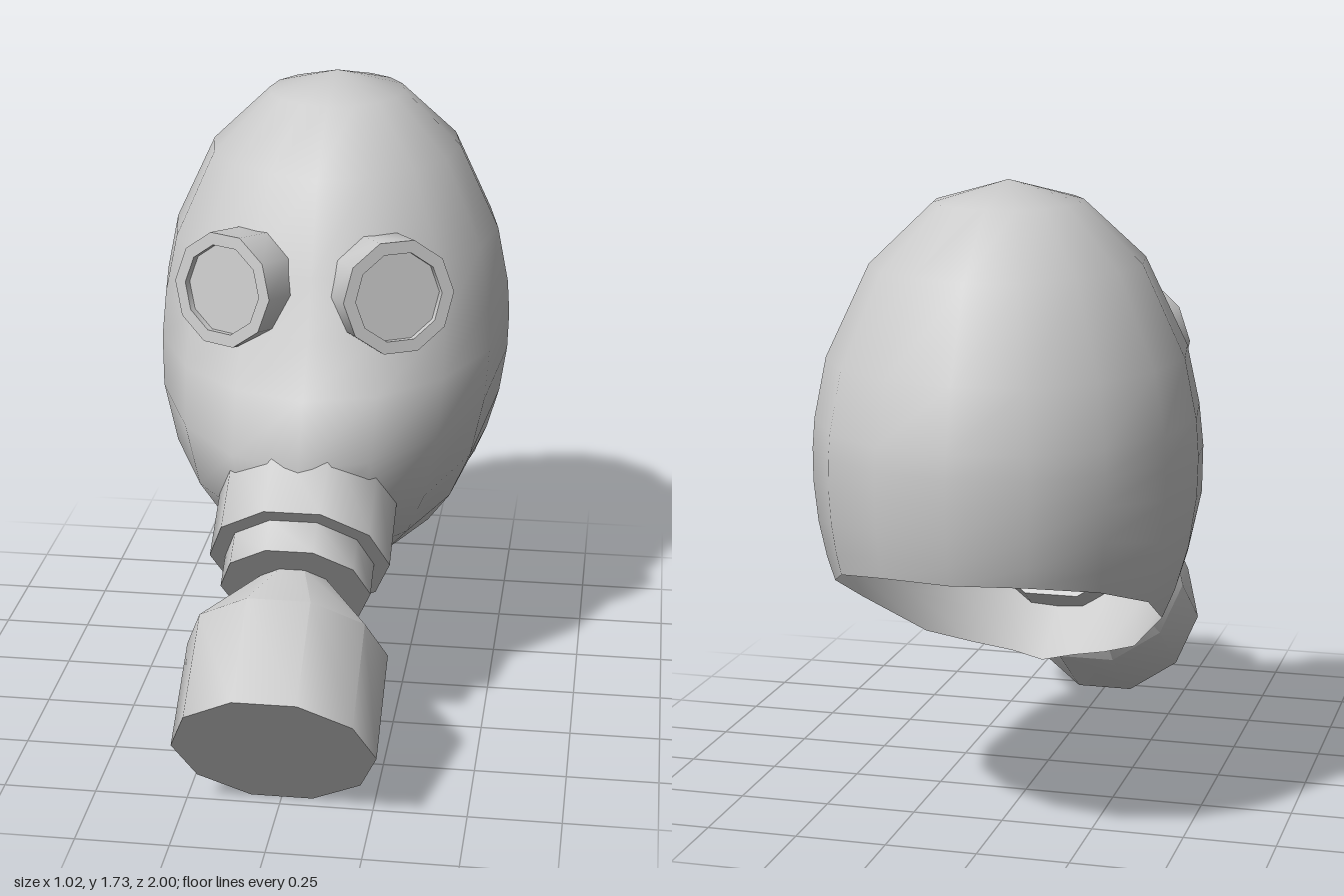
import * as THREE from 'three';
import { toCreasedNormals } from 'three/addons/utils/BufferGeometryUtils.js';

const grey = new THREE.MeshStandardMaterial({ color: 0xcccccc });
const greyDouble = new THREE.MeshStandardMaterial({ color: 0xcccccc, side: THREE.DoubleSide });
const SIDES = 10;

// Ten-sided turned part; profile is [radius, height] from bottom to top
function turned(name, profile) {
  const points = profile.map(([r, y]) => new THREE.Vector2(r, y));
  const geometry = new THREE.LatheGeometry(points, SIDES, Math.PI / SIDES);
  const mesh = new THREE.Mesh(toCreasedNormals(geometry, 0.75), grey);
  mesh.name = name;
  return mesh;
}

// Linear interpolation in a table of [y, value], y descending
function lookup(table, y) {
  for (let i = 1; i < table.length; i++) {
    const [y0, v0] = table[i - 1], [y1, v1] = table[i];
    if (y >= y1) return v0 + (v1 - v0) * (y0 - y) / (y0 - y1);
  }
  return table[table.length - 1][1];
}

// Hood: open ellipsoid shell drawn out to a snout at the front, with a sloping rim
function hood() {
  const columns = 16, cz = -0.41;
  const upperRows = [1.73, 1.675, 1.52, 1.28, 1.12];
  const lowerRows = [0.18, 0.38, 0.63, 0.85, 1];
  const rim = [0.33, 0.35, 0.38, 0.435, 0.58, 0.68, 0.75, 0.785, 0.79]; // front to back
  const snout = [[1.28, 0.135], [1.12, 0.2], [0.82, 0.4], [0.62, 0.34], [0.45, 0.13], [0.33, -0.07]];
  const positions = [], index = [];
  const rows = upperRows.length + lowerRows.length;

  for (let r = 0; r < rows; r++) {
    for (let c = 0; c < columns; c++) {
      const a = c / columns * Math.PI * 2;
      const edge = rim[Math.min(c, columns - c)];
      const y = r < upperRows.length ? upperRows[r]
        : THREE.MathUtils.lerp(1.12, edge, lowerRows[r - upperRows.length]);
      const s = Math.sqrt(Math.max(0, 1 - ((y - 1) / 0.73) ** 2));
      const front = y < 1.28 ? lookup(snout, y) - cz : 0.59 * s;
      const depth = Math.cos(a) > 0 ? front : 0.59 * s;
      positions.push(0.51 * s * Math.sin(a), y, cz + depth * Math.cos(a));
      if (r === rows - 1) continue;
      const A = r * columns + c, B = r * columns + (c + 1) % columns;
      const C = A + columns, D = B + columns;
      if (r > 0) index.push(A, C, B);
      index.push(B, C, D);
    }
  }
  const geometry = new THREE.BufferGeometry();
  geometry.setAttribute('position', new THREE.Float32BufferAttribute(positions, 3));
  geometry.setIndex(index);
  geometry.computeVertexNormals();
  for (let c = 0; c < columns; c++) geometry.attributes.normal.setXYZ(c, 0, 1, 0);
  const mesh = new THREE.Mesh(geometry, greyDouble);
  mesh.name = 'hood';
  return mesh;
}

export function createModel() {
  const model = new THREE.Group();
  model.name = 'gasMask';
  model.add(hood());

  // Eyepieces: rings with a recessed lens, turned outward and slightly up
  for (const side of [1, -1]) {
    const eye = turned(side > 0 ? 'leftEyepiece' : 'rightEyepiece',
      [[0, -0.13], [0.16, -0.13], [0.16, 0], [0.125, 0], [0.125, -0.02], [0, -0.02]]);
    eye.rotation.set(Math.PI / 2 - 0.12, side * 0.475, 0, 'YXZ');
    eye.position.set(side * 0.243, 1.24, 0.157);
    model.add(eye);
  }

  // Breathing parts, stacked along an axis running up and back into the snout
  const breather = new THREE.Group();
  breather.name = 'breather';
  breather.position.set(0, 0.217, 0.855);
  breather.rotation.x = -0.973;
  breather.add(
    turned('filterCanister', [[0, 0], [0.27, 0], [0.27, 0.305], [0.11, 0.49], [0.11, 0.52]]),
    turned('flange', [[0, 0.49], [0.205, 0.49], [0.205, 0.585]]),
    turned('collar', [[0, 0.585], [0.248, 0.585], [0.248, 0.84], [0, 0.84]]),
  );
  model.add(breather);
  return model;
}
